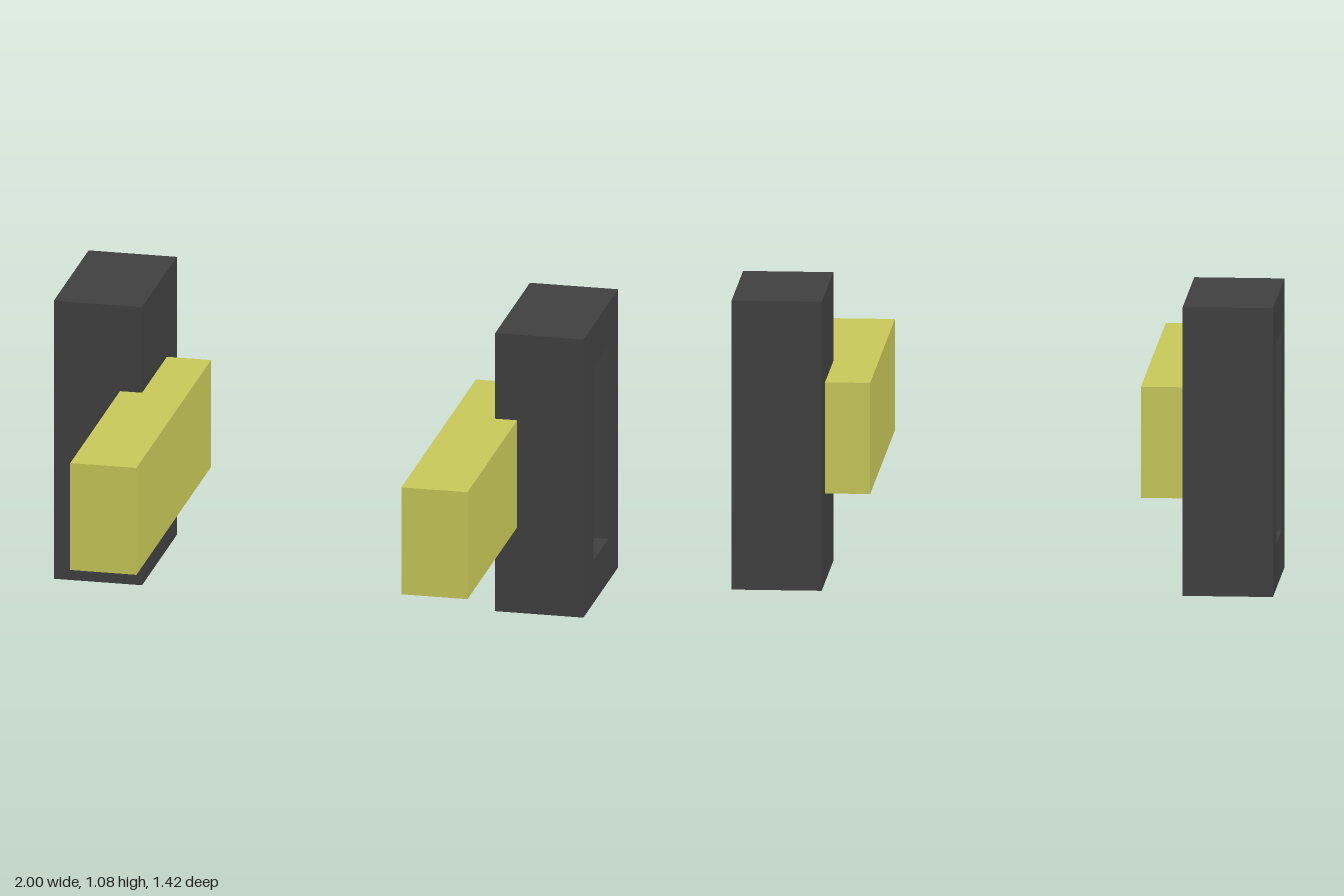
import * as THREE from 'three';

const U = 1 / 12; // modelling unit

function rect(T, w, h) {
  const p = new T();
  p.moveTo(-w / 2, -h / 2);
  p.lineTo(w / 2, -h / 2);
  p.lineTo(w / 2, h / 2);
  p.lineTo(-w / 2, h / 2);
  p.closePath();
  return p;
}

export function createModel() {
  const dark = new THREE.MeshStandardMaterial({ name: 'darkGrey', color: 0x404040 });
  const grey = new THREE.MeshStandardMaterial({ name: 'midGrey', color: 0x666666 });
  const yellow = new THREE.MeshStandardMaterial({ name: 'yellow', color: 0xc9c95a });

  const model = new THREE.Group();
  model.name = 'pairOfArms';

  const add = (parent, name, geometry, material, x = 0, y = 0, z = 0) => {
    const mesh = new THREE.Mesh(geometry, material);
    mesh.name = name;
    mesh.position.set(x, y, z);
    parent.add(mesh);
  };

  // Outer frame of a block, with the recess as a hole, extruded outwards
  const outline = rect(THREE.Shape, 7 * U, 13 * U);
  outline.holes.push(rect(THREE.Path, 3 * U, 9 * U));
  const frame = new THREE.ExtrudeGeometry(outline, { depth: 2 * U, bevelEnabled: false });
  frame.rotateY(Math.PI / 2);

  const backing = new THREE.BoxGeometry(2 * U, 13 * U, 7 * U);
  const panel = new THREE.BoxGeometry(0.004, 9 * U, 3 * U);
  const bar = new THREE.BoxGeometry(3 * U, 5 * U, 15 * U);

  for (const [side, s] of [['left', 1], ['right', -1]]) {
    // Tall block, recessed on its outer side
    const block = new THREE.Group();
    block.name = side + 'Block';
    block.position.set(s * 10 * U, 6.5 * U, -5 * U);
    block.rotation.y = s > 0 ? 0 : Math.PI;
    add(block, side + 'BlockFrame', frame, dark);
    add(block, side + 'BlockBacking', backing, dark, -U);
    add(block, side + 'RecessPanel', panel, grey, 0.002);
    model.add(block);

    // Forward bar, set into the inner side of the block
    add(model, side + 'Bar', bar, yellow, s * 7.5 * U, 6.5 * U, U);
  }
  return model;
}
